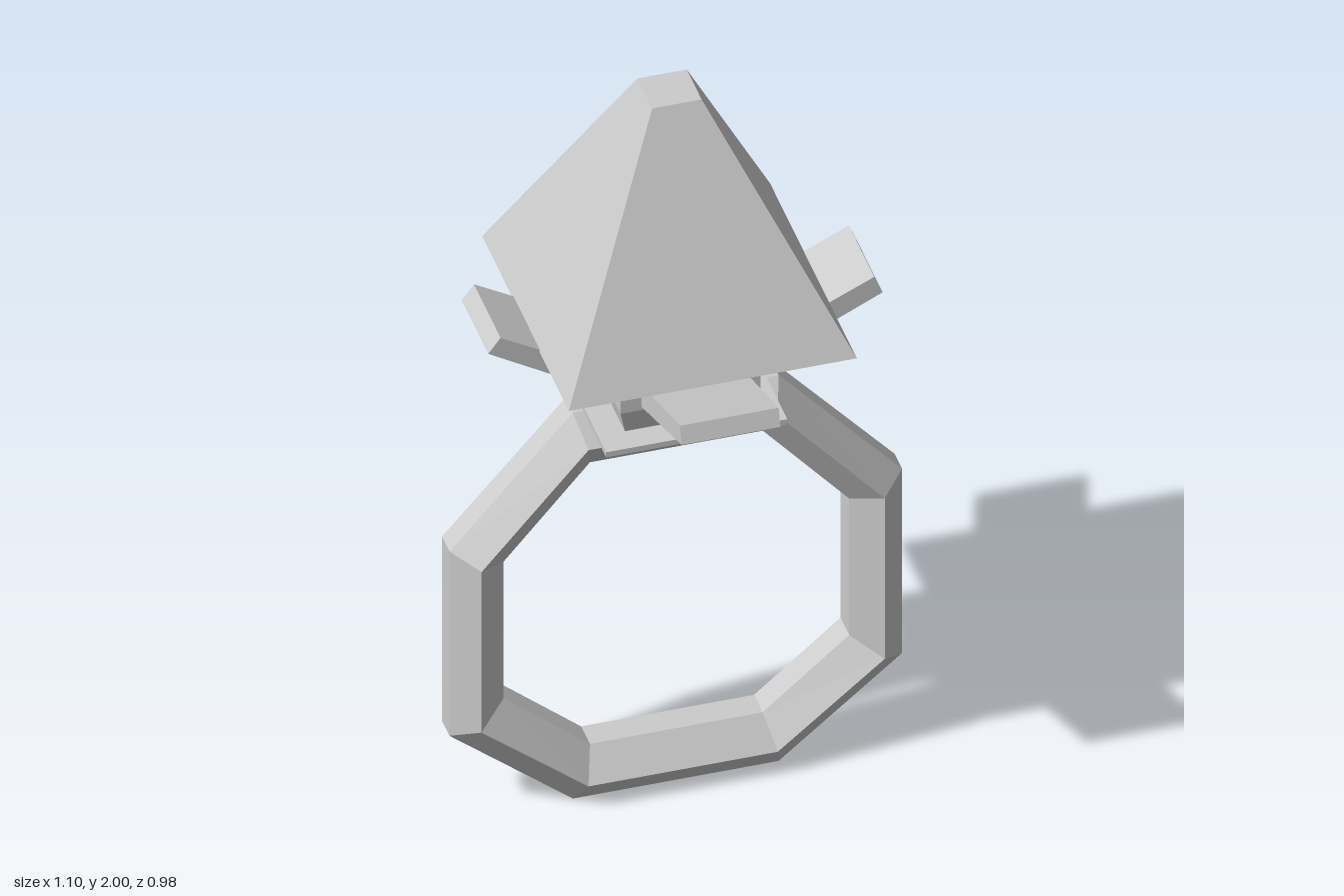
import * as THREE from 'three';

const material = new THREE.MeshStandardMaterial({ color: 0xcccccc, flatShading: true });

function createModel() {
  const model = new THREE.Group();
  model.name = 'gemRing';

  function add(name, geometry, x = 0, y = 0, z = 0) {
    const mesh = new THREE.Mesh(geometry, material);
    mesh.name = name;
    mesh.position.set(x, y, z);
    model.add(mesh);
    return mesh;
  }

  // Square frustum given half-widths at two heights
  function frustum(name, bottomHalf, topHalf, y0, y1) {
    const g = new THREE.CylinderGeometry(topHalf * Math.SQRT2, bottomHalf * Math.SQRT2, y1 - y0, 4);
    g.rotateY(Math.PI / 4);
    return add(name, g, -0.005, (y0 + y1) / 2, -0.004);
  }

  add('band', bandGeometry());

  // Setting: thin plate, flared base and block
  frustum('plate', 0.22, 0.22, 1.13, 1.145);
  frustum('settingBase', 0.155, 0.17, 1.145, 1.21);
  frustum('settingBlock', 0.17, 0.17, 1.21, 1.28);

  // Gem: inverted lower part and tall pointed crown with a small flat top
  frustum('gemPavilion', 0.14, 0.35, 1.25, 1.39);
  frustum('gemCrown', 0.35, 0.06, 1.39, 2);

  // Four prongs, each an extruded side profile: [angle, width, tip top, tip bottom]
  const prongs = [
    ['leftProng', 0, 0.205, [0.465, 1.425], [0.485, 1.375]],
    ['frontProng', -Math.PI / 2, 0.24, [0.475, 1.39], [0.49, 1.345]],
    ['rightProng', Math.PI, 0.215, [0.445, 1.45], [0.475, 1.41]],
    ['backProng', Math.PI / 2, 0.23, [0.465, 1.425], [0.485, 1.37]],
  ];
  for (const [name, angle, width, top, bottom] of prongs) {
    const profile = new THREE.Shape([[0.155, 1.215], bottom, top, [0.155, 1.28]].map(p => new THREE.Vector2(...p)));
    const g = new THREE.ExtrudeGeometry(profile, { depth: width, bevelEnabled: false });
    g.translate(0, 0, -width / 2);
    add(name, g, -0.004, 0, 0).rotation.y = angle;
  }

  return model;
}

// Octagonal band with a six-sided cross-section
function bandGeometry() {
  // Corner coordinates: flat half-width, side x, then four heights from bottom to top
  const outer = [0.25, 0.55, 0, 0.25, 0.79, 1.13];
  const middle = [0.23, 0.49, 0.075, 0.29, 0.76, 1.06];
  const inner = [0.21, 0.42, 0.155, 0.335, 0.735, 0.98];
  const section = [[outer, 0.03], [middle, 0.09], [inner, 0.035], [inner, -0.035], [middle, -0.09], [outer, -0.03]];
  const positions = [], index = [];
  for (const [[fx, sx, y0, y1, y2, y3], z] of section) {
    const loop = [[fx, y0], [sx, y1], [sx, y2], [fx, y3], [-fx, y3], [-sx, y2], [-sx, y1], [-fx, y0]];
    for (const [x, y] of loop) positions.push(x, y, z);
  }
  for (let j = 0; j < 6; j++) {
    for (let i = 0; i < 8; i++) {
      const k = (j + 1) % 6, n = (i + 1) % 8;
      const a = j * 8 + i, b = j * 8 + n, c = k * 8 + i, d = k * 8 + n;
      index.push(a, b, c, b, d, c);
    }
  }
  const g = new THREE.BufferGeometry();
  g.setAttribute('position', new THREE.Float32BufferAttribute(positions, 3));
  g.setIndex(index);
  const flat = g.toNonIndexed();
  flat.computeVertexNormals();
  return flat;
}

export { createModel };
